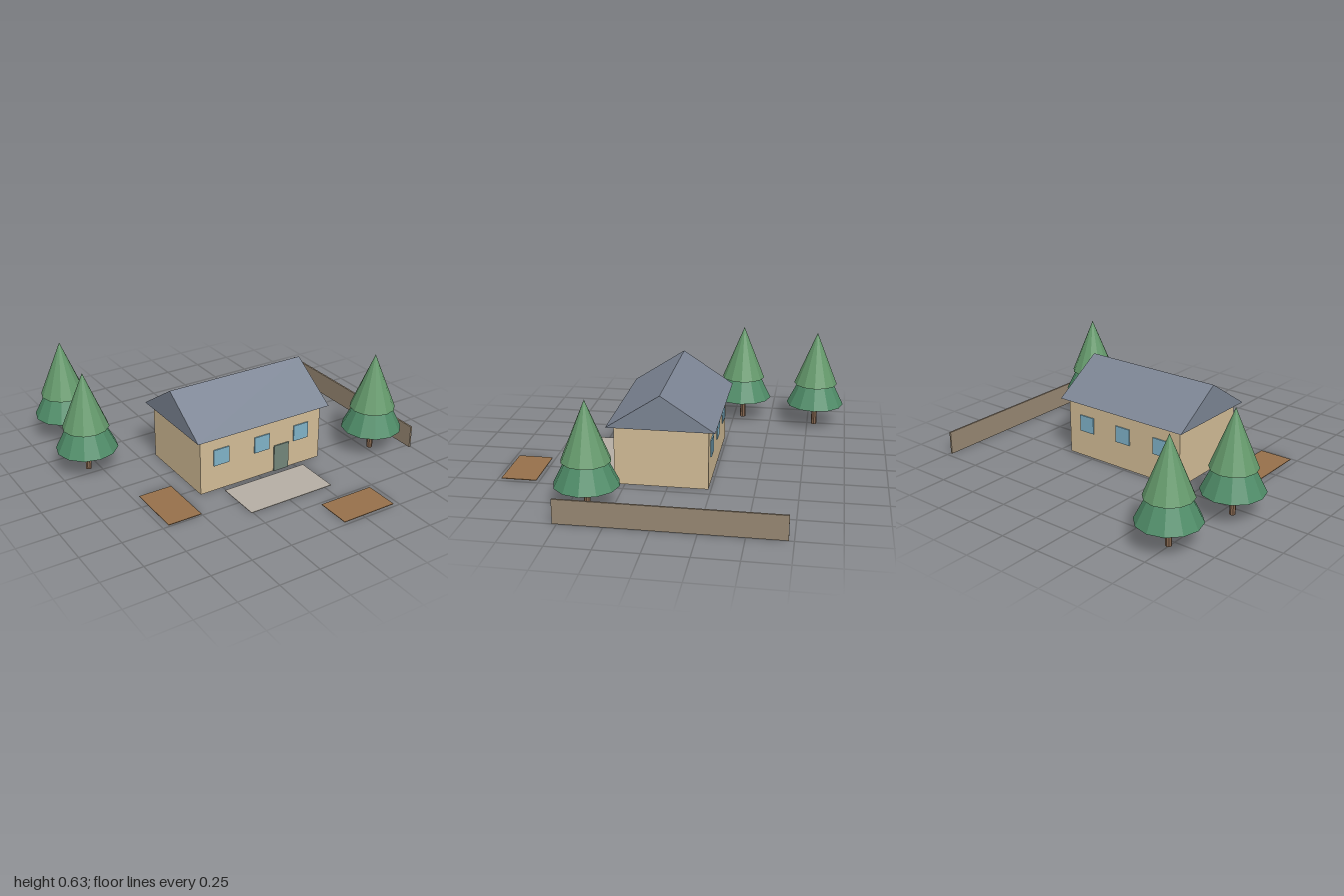
import * as THREE from 'three';

const mat = (color) => new THREE.MeshStandardMaterial({ color, flatShading: true });
const wallMat = mat(0xd2bc96), roofMat = mat(0x7c8594), glassMat = mat(0x7fb2c8), doorMat = mat(0x72857a);
const soilMat = mat(0x96704a), patioMat = mat(0xb5aea4), fenceMat = mat(0x988873);
const barkMat = mat(0x84664f), lowerLeafMat = mat(0x4f8c68), upperLeafMat = mat(0x659a6c);

function add(parent, name, geometry, material, x = 0, y = 0, z = 0) {
  const mesh = new THREE.Mesh(geometry, material);
  mesh.name = name;
  mesh.position.set(x, y, z);
  parent.add(mesh);
  return mesh;
}

// Box given by its extents along each axis
function box(parent, name, material, [x0, x1], [y0, y1], [z0, z1]) {
  return add(parent, name, new THREE.BoxGeometry(x1 - x0, y1 - y0, z1 - z0), material,
    (x0 + x1) / 2, (y0 + y1) / 2, (z0 + z1) / 2);
}

function createHouse() {
  const house = new THREE.Group();
  house.name = 'house';
  house.position.set(0.0175, 0, 0.0385);
  const halfW = 0.4175, halfD = 0.273, eave = 0.355;
  box(house, 'walls', wallMat, [-halfW, halfW], [0, eave], [-halfD, halfD]);

  // Solid gable roof, extruded along the ridge
  const gable = new THREE.Shape([
    new THREE.Vector2(-0.313, eave), new THREE.Vector2(0.313, eave), new THREE.Vector2(0, 0.56),
  ]);
  const roof = new THREE.ExtrudeGeometry(gable, { depth: 0.905, bevelEnabled: false });
  roof.translate(0, 0, -0.4525).rotateY(Math.PI / 2);
  add(house, 'roof', roof, roofMat);

  // Windows on the front and back walls
  for (const side of [1, -1]) {
    for (const x of [-0.278, 0, 0.278]) {
      add(house, side > 0 ? 'frontWindow' : 'backWindow',
        new THREE.BoxGeometry(0.104, 0.102, 0.014), glassMat, x, 0.215, side * halfD);
    }
  }
  add(house, 'door', new THREE.BoxGeometry(0.104, 0.17, 0.014), doorMat, 0.139, 0.086, halfD);
  return house;
}

function createTree(x, z) {
  const tree = new THREE.Group();
  tree.name = 'tree';
  tree.position.set(x, 0, z);
  add(tree, 'trunk', new THREE.CylinderGeometry(0.018, 0.018, 0.16, 8), barkMat, 0, 0.08, 0);
  add(tree, 'lowerFoliage', new THREE.ConeGeometry(0.185, 0.37, 12), lowerLeafMat, 0, 0.147 + 0.185, 0);
  add(tree, 'upperFoliage', new THREE.ConeGeometry(0.139, 0.343, 12), upperLeafMat, 0, 0.285 + 0.1715, 0);
  return tree;
}

export function createModel() {
  const model = new THREE.Group();
  model.name = 'houseAndGarden';
  model.add(createHouse());
  for (const [x, z] of [[0.783, 0.385], [-0.745, -0.795], [-0.815, -0.31]]) model.add(createTree(x, z));

  // Ground slabs and boundary fence
  box(model, 'patio', patioMat, [-0.26, 0.295], [0, 0.004], [0.35, 0.63]);
  box(model, 'sideBed', soilMat, [-0.71, -0.502], [0, 0.004], [0.142, 0.49]);
  box(model, 'frontBed', soilMat, [0.122, 0.47], [0, 0.004], [0.77, 0.98]);
  box(model, 'fence', fenceMat, [0.987, 0.998], [0, 0.142], [-0.722, 0.526]);
  return model;
}
